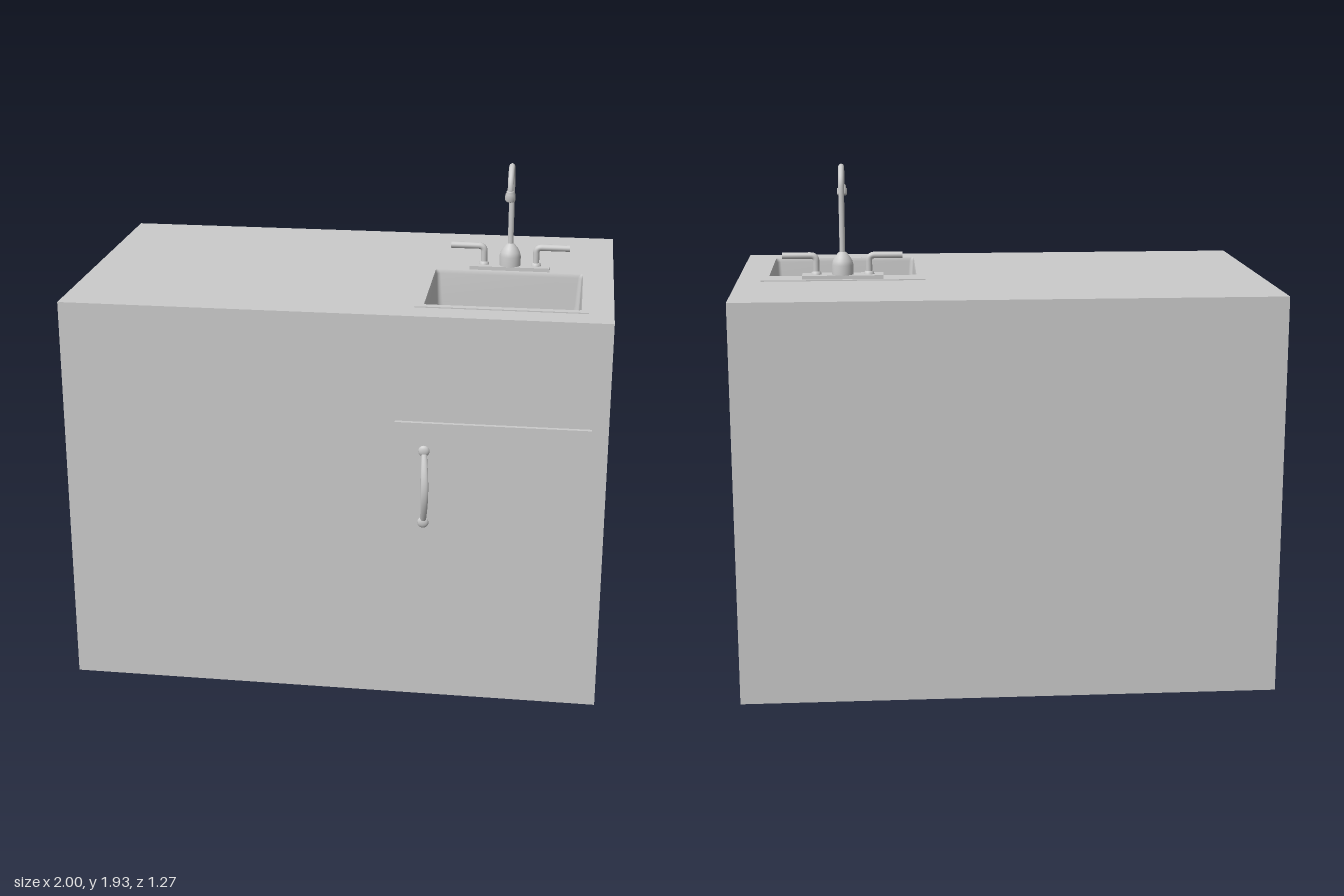
import * as THREE from 'three';

const TOP = 1.5, SINK_X = 0.6025, TAP_X = 0.602, TAP_Z = -0.105;
const grey = new THREE.MeshStandardMaterial({ color: 0xcccccc });
const greyDouble = new THREE.MeshStandardMaterial({ color: 0xcccccc, side: THREE.DoubleSide });
const V = (x, y, z) => new THREE.Vector3(x, y, z);

function add(parent, name, geometry, x = 0, y = 0, z = 0, material = grey) {
  const mesh = new THREE.Mesh(geometry, material);
  mesh.name = name;
  mesh.position.set(x, y, z);
  parent.add(mesh);
  return mesh;
}

function lathe(points, segments = 28) {
  return new THREE.LatheGeometry(points.map(p => new THREE.Vector2(...p)), segments);
}

// Rounded rectangle outline, counter-clockwise in (x, z)
function outline(cx, cz, hw, hd, r, steps = 6) {
  const pts = [];
  [[1, 1], [-1, 1], [-1, -1], [1, -1]].forEach(([sx, sz], q) => {
    for (let i = 0; i <= steps; i++) {
      const a = (q + i / steps) * Math.PI / 2;
      pts.push([cx + sx * (hw - r) + r * Math.cos(a), cz + sz * (hd - r) + r * Math.sin(a)]);
    }
  });
  return pts;
}

// Flat shape lying in the ground plane; shape y is minus z
const toShape = pts => new THREE.Shape(pts.map(([x, z]) => new THREE.Vector2(x, -z)));
const rectShape = (x0, x1, z0, z1) => toShape([[x0, z1], [x1, z1], [x1, z0], [x0, z0]]);
const slab = (shape, depth) =>
  new THREE.ExtrudeGeometry(shape, { depth, bevelEnabled: false, curveSegments: 12 }).rotateX(-Math.PI / 2);

// Surface skinned through equal-length rings of points
function skin(rings) {
  const n = rings[0].length, pos = [], idx = [];
  rings.forEach(ring => ring.forEach(p => pos.push(...p)));
  for (let i = 0; i < rings.length - 1; i++) {
    for (let j = 0; j < n; j++) {
      const a = i * n + j, b = i * n + (j + 1) % n;
      idx.push(a, b, a + n, b, b + n, a + n);
    }
  }
  const g = new THREE.BufferGeometry();
  g.setAttribute('position', new THREE.Float32BufferAttribute(pos, 3));
  g.setIndex(idx);
  g.computeVertexNormals();
  return g;
}

function makeCabinet() {
  const cabinet = new THREE.Group();
  cabinet.name = 'cabinet';
  // Box without its top face, so the sink can drop in
  const box = new THREE.BoxGeometry(2, TOP, 1.205);
  const index = Array.from(box.index.array);
  index.splice(12, 6);
  box.setIndex(index);
  box.clearGroups();
  add(cabinet, 'cabinetBody', box, 0, TOP / 2, -0.0325);
  const counter = rectShape(-1, 1, -0.635, 0.57);
  counter.holes.push(toShape(outline(SINK_X, 0.19, 0.282, 0.24, 0.01)));
  add(cabinet, 'counterTop', new THREE.ShapeGeometry(counter).rotateX(-Math.PI / 2), 0, TOP, 0);
  add(cabinet, 'door', new THREE.BoxGeometry(0.705, 1.04, 0.02), 0.5875, 0.585, 0.576);
  return cabinet;
}

function makeDoorHandle() {
  const handle = new THREE.Group();
  handle.name = 'doorHandle';
  // Bowed flat bar, widest at its middle
  const rings = [];
  for (let i = 0; i <= 24; i++) {
    const t = i / 24, bow = Math.sin(t * Math.PI);
    const ring = [];
    for (let j = 0; j < 12; j++) {
      const a = j / 12 * Math.PI * 2;
      ring.push([0.343 + 0.008 * bow + (0.010 + 0.004 * bow) * Math.cos(a),
        0.715 + 0.285 * t, 0.583 + 0.045 * bow + 0.007 * Math.sin(a)]);
    }
    rings.push(ring);
  }
  add(handle, 'handleBar', skin(rings), 0, 0, 0, greyDouble);
  for (const y of [0.718, 0.998]) {
    add(handle, 'handleFoot', new THREE.SphereGeometry(0.021, 20, 12), 0.343, y, 0.586).scale.z = 0.5;
  }
  return handle;
}

function makeSink() {
  const sink = new THREE.Group();
  sink.name = 'sink';
  // Thin rim with the basin opening
  const rim = rectShape(0.29, 0.91, -0.16, 0.46);
  rim.holes.push(toShape(outline(SINK_X, 0.19, 0.282, 0.24, 0.01)));
  add(sink, 'sinkRim', slab(rim, 0.004), 0, TOP, 0);
  // Basin walls, filleted bottom edge, floor falling to the drain
  const rings = [];
  const ring = (y, hw, hd, r, cx = SINK_X, cz = 0.19) =>
    rings.push(outline(cx, cz, hw, hd, r).map(([x, z]) => [x, y, z]));
  ring(TOP + 0.004, 0.282, 0.24, 0.01);
  ring(TOP - 0.01, 0.278, 0.236, 0.015);
  ring(TOP - 0.12, 0.274, 0.232, 0.02);
  for (let i = 0; i <= 6; i++) {
    const a = i / 6 * Math.PI / 2, inset = 0.04 * (1 - Math.cos(a));
    ring(1.265 - 0.04 * Math.sin(a), 0.27 - inset, 0.228 - inset, 0.045);
  }
  ring(1.224, 0.215, 0.173, 0.045);
  ring(1.22, 0.05, 0.05, 0.05, TAP_X, 0.1);
  add(sink, 'basin', skin(rings), 0, 0, 0, greyDouble);
  // Drain collar and perforated strainer
  add(sink, 'drainCollar', lathe([[0.055, 0], [0.053, 0.004], [0.046, 0.004], [0.042, -0.008]]),
    TAP_X, 1.221, 0.1, greyDouble);
  const strainer = new THREE.Shape().absarc(0, 0, 0.045, 0, Math.PI * 2);
  for (let i = -3; i <= 3; i++) {
    for (let j = -3; j <= 3; j++) {
      if (i * i + j * j > 10) continue;
      strainer.holes.push(new THREE.Path().absarc(i * 0.011, j * 0.011, 0.004, 0, Math.PI * 2, true));
    }
  }
  add(sink, 'drainStrainer', slab(strainer, 0.003), TAP_X, 1.215, 0.1);
  add(sink, 'drainCup', lathe([[0, -0.04], [0.035, -0.04], [0.046, 0]]), TAP_X, 1.218, 0.1, greyDouble);
  return sink;
}

function makeFaucet() {
  const faucet = new THREE.Group();
  faucet.name = 'faucet';
  faucet.position.set(TAP_X, TOP + 0.004, TAP_Z);
  add(faucet, 'basePlate', new THREE.BoxGeometry(0.308, 0.014, 0.08), 0, 0.007, 0);
  add(faucet, 'spoutBase', lathe([[0.041, 0.012], [0.041, 0.05], [0.037, 0.066], [0.028, 0.082],
    [0.018, 0.094], [0.011, 0.1]]));
  // Gooseneck: straight riser, then an arc toward the basin
  const r = 0.075, rise = 0.339, end = Math.PI * 1.07;
  const path = [V(0, 0.08, 0), V(0, 0.17, 0), V(0, 0.26, 0)];
  for (let i = 0; i <= 14; i++) {
    const a = i / 14 * end;
    path.push(V(0, rise + r * Math.sin(a), r - r * Math.cos(a)));
  }
  add(faucet, 'spout', new THREE.TubeGeometry(new THREE.CatmullRomCurve3(path), 72, 0.011, 14));
  const tip = path[path.length - 1];
  const nozzle = add(faucet, 'nozzle', lathe([[0, -0.024], [0.017, -0.024], [0.02, -0.019], [0.019, 0.002],
    [0.015, 0.004], [0.015, 0.014], [0.011, 0.018]]), 0, tip.y, tip.z + 0.002);
  nozzle.rotation.x = 0.25;
  // Mirrored lever handles
  for (const side of [-1, 1]) {
    const lever = new THREE.Group();
    lever.name = side > 0 ? 'leftLever' : 'rightLever';
    const curve = new THREE.CurvePath();
    const a = V(side * 0.1, 0.01, 0), b = V(side * 0.1, 0.065, 0);
    const c = V(side * 0.122, 0.086, 0), d = V(side * 0.228, 0.086, 0);
    curve.add(new THREE.LineCurve3(a, b));
    curve.add(new THREE.QuadraticBezierCurve3(b, V(side * 0.1, 0.086, 0), c));
    curve.add(new THREE.LineCurve3(c, d));
    add(lever, 'leverArm', new THREE.TubeGeometry(curve, 48, 0.0125, 14));
    add(lever, 'leverEnd', new THREE.CircleGeometry(0.0125, 14).rotateY(side * Math.PI / 2), d.x, d.y, d.z);
    add(lever, 'leverCollar', lathe([[0.02, 0.012], [0.018, 0.022], [0.0125, 0.026]]), side * 0.1, 0, 0);
    faucet.add(lever);
  }
  return faucet;
}

export function createModel() {
  const model = new THREE.Group();
  model.name = 'sinkCabinet';
  model.add(makeCabinet(), makeDoorHandle(), makeSink(), makeFaucet());
  return model;
}
